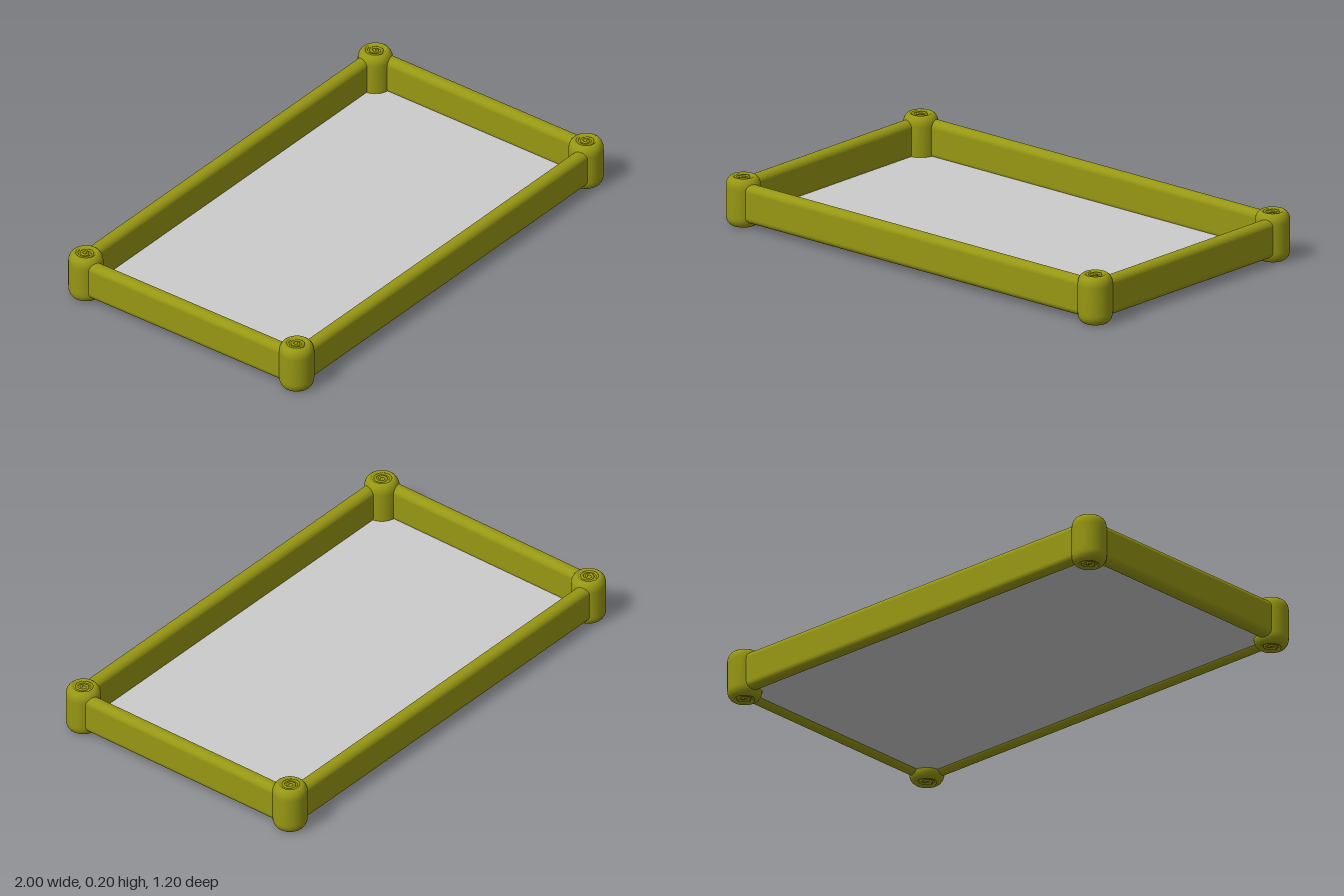
import * as THREE from 'three';

const POST_X = 0.93, POST_Z = 0.53, POST_R = 0.07, HEIGHT = 0.2;

const olive = new THREE.MeshStandardMaterial({ color: 0x979714 });
const grey = new THREE.MeshStandardMaterial({ color: 0xcccccc, side: THREE.DoubleSide });

function addMesh(parent, name, geometry, material) {
  const mesh = new THREE.Mesh(geometry, material);
  mesh.name = name;
  parent.add(mesh);
  return mesh;
}

// Rail: rounded upright cross-section swept along z, centred on its length
function railGeometry(length) {
  const w = 0.03, h = 0.08, r = 0.028;
  const s = new THREE.Shape();
  s.absarc(w - r, h - r, r, 0, Math.PI / 2);
  s.absarc(r - w, h - r, r, Math.PI / 2, Math.PI);
  s.absarc(r - w, r - h, r, Math.PI, Math.PI * 1.5);
  s.absarc(w - r, r - h, r, Math.PI * 1.5, Math.PI * 2);
  s.closePath();
  return new THREE.ExtrudeGeometry(s, { depth: length, bevelEnabled: false, curveSegments: 8 })
    .translate(0, 0, -length / 2);
}

// Post: round column with softened shoulders at both ends
function postGeometry() {
  const half = [[0, 0.194], [0.036, 0.194], [0.042, 0.2], [0.05, 0.2], [0.058, 0.194],
    [0.065, 0.184], [0.069, 0.172], [POST_R, 0.158]];
  const lower = half.map(([r, y]) => new THREE.Vector2(r, HEIGHT - y));
  const upper = half.map(([r, y]) => new THREE.Vector2(r, y)).reverse();
  return new THREE.LatheGeometry([...lower, ...upper], 32);
}

// Scroll: raised spiral lying on a post end
function scrollGeometry() {
  const points = [];
  for (let i = 0; i <= 24; i++) {
    const a = (i / 24) * Math.PI * 3.5, r = 0.005 + 0.033 * (i / 24);
    points.push(new THREE.Vector3(Math.cos(a) * r, 0, Math.sin(a) * r));
  }
  return new THREE.TubeGeometry(new THREE.CatmullRomCurve3(points), 48, 0.006, 6);
}

export function createModel() {
  const model = new THREE.Group();
  model.name = 'tray';

  // Corner posts with scrolls on top and underneath
  const post = postGeometry(), scroll = scrollGeometry();
  for (const sx of [-1, 1]) for (const sz of [-1, 1]) {
    const corner = new THREE.Group();
    corner.name = 'cornerPost';
    corner.position.set(sx * POST_X, 0, sz * POST_Z);
    addMesh(corner, 'column', post, olive);
    addMesh(corner, 'topScroll', scroll, olive).position.y = 0.194;
    const under = addMesh(corner, 'bottomScroll', scroll, olive);
    under.position.y = 0.006;
    under.rotation.x = Math.PI;
    model.add(corner);
  }

  // Four side rails running between the posts
  const longRail = railGeometry(POST_X * 2), shortRail = railGeometry(POST_Z * 2);
  for (const s of [-1, 1]) {
    const long = addMesh(model, s > 0 ? 'frontRail' : 'backRail', longRail, olive);
    long.position.set(0, 0.1, s * 0.547);
    long.rotation.y = Math.PI / 2;
    addMesh(model, s > 0 ? 'leftRail' : 'rightRail', shortRail, olive).position.set(s * 0.948, 0.1, 0);
  }

  // Thin floor panel
  const floor = addMesh(model, 'floorPanel', new THREE.PlaneGeometry(1.88, 1.08), grey);
  floor.rotation.x = -Math.PI / 2;
  floor.position.y = 0.035;

  return model;
}
